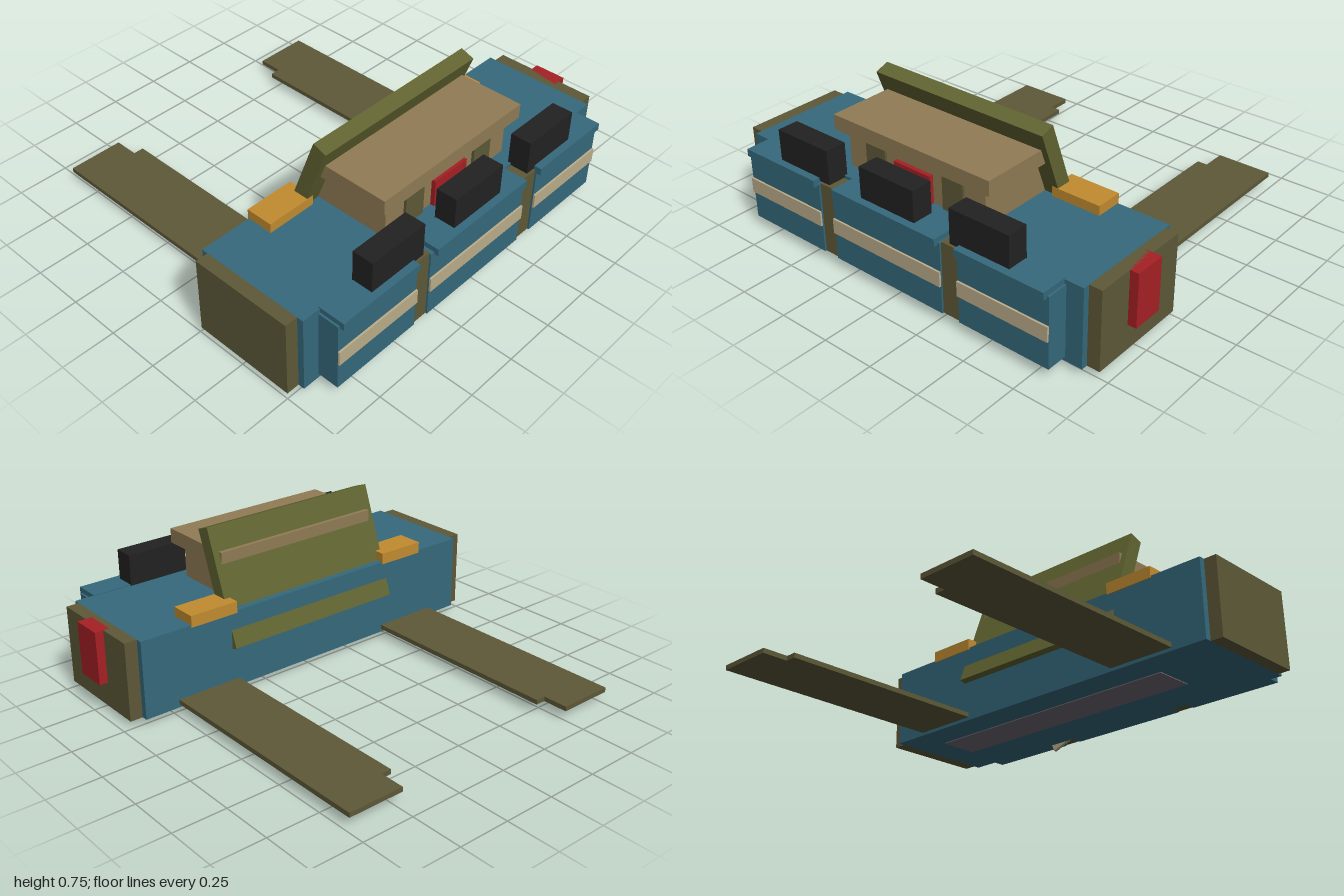
import * as THREE from 'three';

const mat = (name, color) => {
  const m = new THREE.MeshStandardMaterial({ color });
  m.name = name;
  return m;
};

export function createModel() {
  const group = new THREE.Group();
  const teal = mat('teal', 0x35697c);
  const olive = mat('olive', 0x5e5938);
  const green = mat('mossGreen', 0x616431);
  const brown = mat('brown', 0x917c55);
  const beige = mat('beige', 0xbcad8b);
  const black = mat('black', 0x222222);
  const red = mat('red', 0xa62024);
  const orange = mat('orange', 0xc28c30);
  const grey = mat('grey', 0x6e6a72);

  const add = (name, geometry, material) => {
    const mesh = new THREE.Mesh(geometry, material);
    mesh.name = name;
    group.add(mesh);
    return mesh;
  };
  // box given by its limits on each axis
  const box = (name, material, [x0, x1], [y0, y1], [z0, z1]) => {
    const mesh = add(name, new THREE.BoxGeometry(x1 - x0, y1 - y0, z1 - z0), material);
    mesh.position.set((x0 + x1) / 2, (y0 + y1) / 2, (z0 + z1) / 2);
    return mesh;
  };

  // main body and end caps
  box('body', teal, [-0.94, 0.9], [0.03, 0.4], [0.23, 0.78]);
  box('endCapRight', olive, [-1, -0.94], [0.03, 0.4], [0.26, 0.75]);
  box('endCapLeft', olive, [0.9, 0.96], [0.03, 0.4], [0.26, 0.75]);
  box('sidePouch', red, [0.93, 1], [0.15, 0.4], [0.43, 0.58]);

  // three front pockets with flap, stripe and dark block on top
  [
    { pocket: [-0.86, -0.41], flap: [-0.85, -0.42], block: [-0.66, -0.36] },
    { pocket: [-0.33, 0.28], flap: [-0.31, 0.27], block: [-0.17, 0.13] },
    { pocket: [0.37, 0.82], flap: [0.37, 0.81], block: [0.32, 0.62] },
  ].forEach(({ pocket, flap, block }) => {
    box('pocket', teal, pocket, [0.05, 0.38], [0.77, 0.88]);
    box('pocketFlap', teal, flap, [0.37, 0.404], [0.77, 0.9]);
    box('pocketStripe', beige, pocket, [0.18, 0.25], [0.88, 0.889]);
    box('topBlock', black, block, [0.39, 0.55], [0.765, 0.865]);
  });
  box('frontStrap', olive, [-0.41, -0.33], [0.05, 0.385], [0.77, 0.872]);
  box('frontStrap', olive, [0.28, 0.37], [0.05, 0.385], [0.77, 0.872]);

  // upper box with overhanging lid
  box('upperBox', brown, [-0.4, 0.36], [0.39, 0.57], [0.335, 0.7]);
  box('upperBoxLid', brown, [-0.45, 0.41], [0.57, 0.64], [0.33, 0.735]);
  box('upperBoxStrap', olive, [-0.29, -0.18], [0.39, 0.57], [0.69, 0.712]);
  box('upperBoxStrap', olive, [0.14, 0.25], [0.39, 0.57], [0.69, 0.712]);
  box('upperBoxBadge', red, [-0.12, 0.08], [0.39, 0.53], [0.69, 0.72]);

  // tilted back pad
  const pad = add('backPad', new THREE.BoxGeometry(0.92, 0.55, 0.07), green);
  pad.position.set(-0.02, 0.478, 0.328);
  pad.rotation.x = THREE.MathUtils.degToRad(20);

  // mirrored buckles and long straps
  for (const s of [-1, 1]) {
    const span = (a, b) => [-0.02 + s * a, -0.02 + s * b].sort((p, q) => p - q);
    box('buckle', orange, span(0.43, 0.67), [0.39, 0.445], [0.225, 0.355]);
    box('longStrap', olive, span(0.43, 0.75), [0.045, 0.067], [-0.78, 0.235]);
    box('longStrapEnd', olive, span(0.48, 0.75), [0.045, 0.067], [-0.9, -0.78]);
  }

  // underside panel and small hanging tag
  box('undersidePanel', grey, [-0.6, 0.73], [0.026, 0.032], [0.38, 0.57]);
  const tagShape = new THREE.Shape([
    new THREE.Vector2(0.25, 0.046), new THREE.Vector2(0.37, 0),
    new THREE.Vector2(0.39, 0.05),
  ]);
  const tag = add('tag', new THREE.ExtrudeGeometry(tagShape, { depth: 0.016, bevelEnabled: false }), beige);
  tag.position.z = 0.785;

  return group;
}
